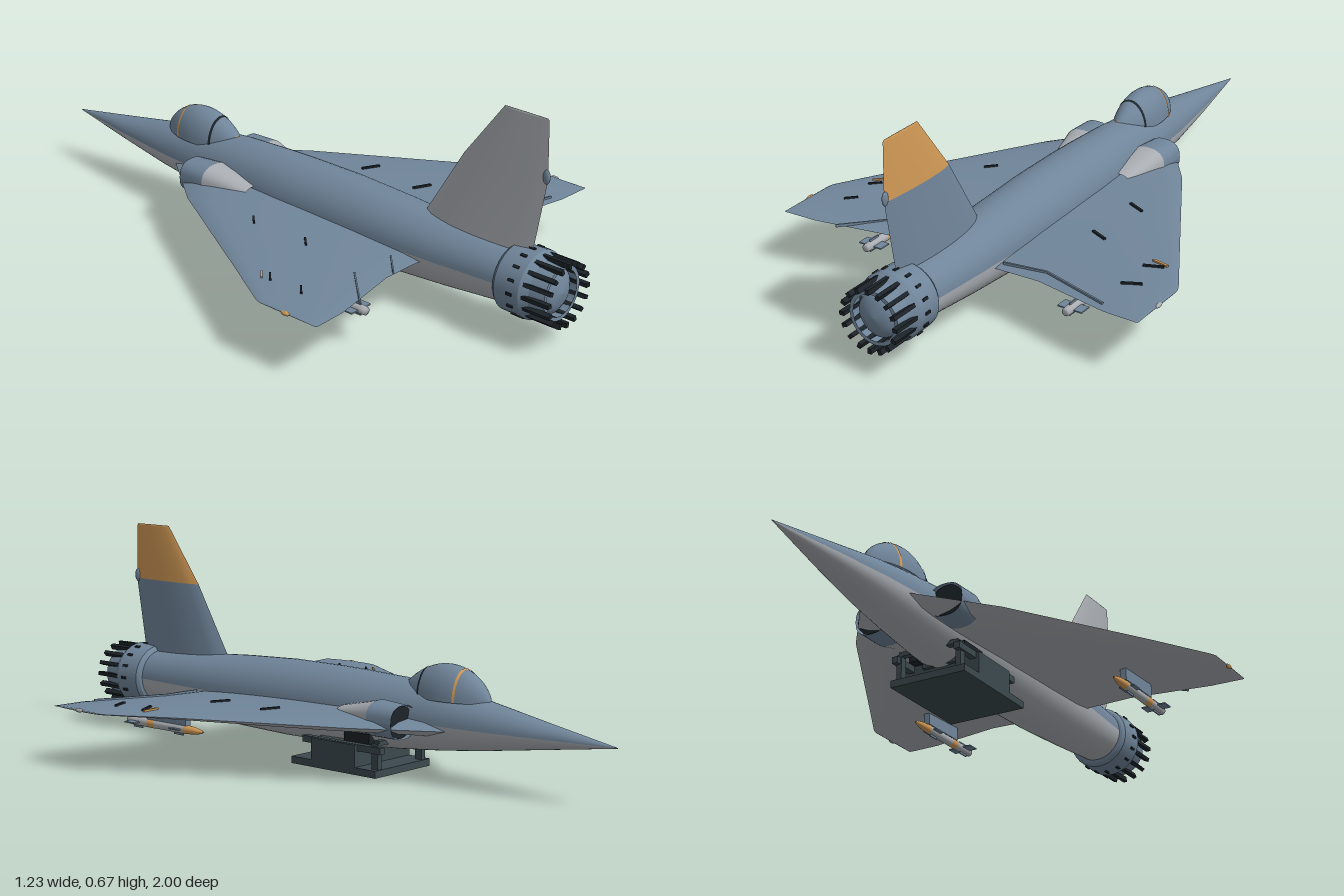
import * as THREE from 'three';

const mat = (name, color, double = false) => {
  const m = new THREE.MeshStandardMaterial({ color });
  m.name = name;
  if (double) m.side = THREE.DoubleSide;
  return m;
};

export function createModel() {
  const slate = mat('slate blue', 0x70859a, true);
  const pale = mat('pale grey', 0xa9adb2, true);
  const orange = mat('ochre', 0xd29a56, true);
  const dark = mat('dark green grey', 0x3c494f);
  const black = mat('near black', 0x1c2328);
  const root = new THREE.Group();

  const add = (parent, name, geo, material, x = 0, y = 0, z = 0) => {
    const m = new THREE.Mesh(geo, material);
    m.name = name;
    m.position.set(x, y, z);
    parent.add(m);
    return m;
  };
  const box = (parent, name, material, w, h, d, x, y, z) =>
    add(parent, name, new THREE.BoxGeometry(w, h, d), material, x, y, z);

  // Surface through rows of points, every row the same length
  const skin = (rows) => {
    const n = rows[0].length, idx = [];
    for (let i = 0; i < rows.length - 1; i++)
      for (let j = 0; j < n - 1; j++) {
        const a = i * n + j, b = a + n;
        idx.push(a, a + 1, b, a + 1, b + 1, b);
      }
    const g = new THREE.BufferGeometry();
    g.setAttribute('position', new THREE.Float32BufferAttribute(rows.flat(2), 3));
    g.setIndex(idx);
    g.computeVertexNormals();
    return g;
  };
  // Surface of revolution along z, profile points are [radius, z]
  const turned = (profile, seg = 32) =>
    new THREE.LatheGeometry(profile.map(([r, z]) => new THREE.Vector2(r, z)), seg).rotateX(Math.PI / 2);

  // Fuselage: z, half width, top, bottom
  const hull = [
    [-1, 0.001, 0.176, 0.174], [-0.75, 0.045, 0.217, 0.137], [-0.55, 0.074, 0.252, 0.107],
    [-0.4, 0.088, 0.272, 0.088], [-0.25, 0.098, 0.286, 0.073], [-0.1, 0.107, 0.291, 0.063],
    [0, 0.112, 0.293, 0.058], [0.2, 0.112, 0.293, 0.055], [0.4, 0.108, 0.284, 0.06],
    [0.6, 0.098, 0.27, 0.073], [0.82, 0.083, 0.257, 0.092],
  ];
  const arc = (sign) => hull.map(([z, w, top, bot]) =>
    Array.from({ length: 21 }, (_, j) => {
      const a = (sign * j * Math.PI) / 20;
      const h = sign > 0 ? top - 0.175 : 0.175 - bot;
      return [sign * Math.cos(a) * w, 0.175 + Math.sin(a) * h, z];
    }));
  add(root, 'fuselageUpper', skin(arc(1)), slate);
  add(root, 'fuselageBelly', skin(arc(-1)), pale);

  // Engine nozzle with a ring of petals
  const nozzle = new THREE.Group();
  nozzle.name = 'nozzle';
  nozzle.position.y = 0.172;
  root.add(nozzle);
  add(nozzle, 'nozzleCollar', turned([[0.08, 0.8], [0.092, 0.805], [0.092, 0.805], [0.1, 0.815], [0.1, 0.815],
    [0.103, 0.9], [0.103, 0.9], [0.088, 0.925], [0.088, 0.925], [0.082, 0.975], [0.082, 0.975], [0.07, 0.975]]), slate);
  add(nozzle, 'nozzleCore', turned([[0.072, 0.93], [0.066, 0.955], [0.04, 0.972], [0, 0.978]]), slate);
  for (let i = 0; i < 16; i++) {
    const a = (i / 16) * Math.PI * 2;
    const p = box(nozzle, 'nozzlePetal', black, 0.016, 0.012, 0.095, Math.cos(a) * 0.09, Math.sin(a) * 0.09, 0.9525);
    p.rotation.z = a;
    box(nozzle, 'nozzleRivet', black, 0.008, 0.008, 0.02, Math.cos(a) * 0.102, Math.sin(a) * 0.102, 0.87).rotation.z = a;
  }

  // Canopy glass and frames
  const canopyAt = (z) => {
    const t = (z + 0.565) / 0.325;
    return Math.pow(Math.sin(Math.PI * Math.pow(t, 0.9)), 0.65);
  };
  const canopyRow = (z, grow) => Array.from({ length: 17 }, (_, j) => {
    const a = (j / 16) * Math.PI, s = canopyAt(z);
    return [Math.cos(a) * (0.066 * s + grow), 0.243 + Math.sin(a) * (0.102 * s + grow), z];
  });
  add(root, 'canopy', skin(Array.from({ length: 25 }, (_, i) => canopyRow(-0.565 + (0.325 * (i + 0.02)) / 24.04, 0))), slate);
  for (const [z, m] of [[-0.475, orange], [-0.34, black], [-0.265, orange]])
    add(root, 'canopyFrame', skin([canopyRow(z - 0.004, 0.002), canopyRow(z + 0.004, 0.002)]), m);

  // Tail fin: y, leading z, trailing z, half thickness
  const fin = [[0.24, 0.47, 0.865, 0.027], [0.27, 0.488, 0.872, 0.025], [0.49, 0.62, 0.91, 0.012],
    [0.665, 0.752, 0.905, 0.005], [0.67, 0.756, 0.9, 0.0005]];
  const finSide = (list, sign) => skin(list.map(([y, a, b, t]) =>
    Array.from({ length: 13 }, (_, j) => {
      const u = j / 12;
      return [sign * t * Math.pow(Math.sin(Math.PI * Math.pow(u, 0.75)), 0.7) || 0, y, sign > 0 ? b + (a - b) * (1 - u) : a + (b - a) * u];
    })));
  const faceOut = (g, sign) => { if (sign > 0) g.setIndex([...g.index.array].reverse()), g.computeVertexNormals(); return g; };
  add(root, 'finRightSide', faceOut(finSide(fin.slice(0, 3), 1), 1), slate);
  add(root, 'finTipPaint', faceOut(finSide(fin.slice(2), 1), 1), orange);
  add(root, 'finLeftSide', finSide(fin, -1), pale);
  add(root, 'finRearLamp', new THREE.SphereGeometry(0.012, 12, 8).scale(0.6, 1.8, 1), slate, 0, 0.5, 0.905);

  // Wing stations: x, leading z, trailing z, middle y, half thickness
  const wing = [[0.05, -0.5, 0.55, 0.162, 0.033], [0.085, -0.46, 0.55, 0.162, 0.032], [0.25, -0.24, 0.555, 0.168, 0.022],
    [0.5, 0.204, 0.615, 0.177, 0.01], [0.605, 0.39, 0.62, 0.178, 0.005], [0.612, 0.41, 0.618, 0.178, 0.0005]];
  const wingSide = (sign) => skin(wing.map(([x, a, b, y, t]) =>
    Array.from({ length: 17 }, (_, j) => {
      const u = j / 16;
      return [x, y + sign * t * Math.pow(Math.sin(Math.PI * Math.pow(u, 0.7)), 0.6) || y, sign > 0 ? a + (b - a) * u : b + (a - b) * (1 - u)];
    })));
  const topY = (x, z) => {
    let i = 0;
    while (i < wing.length - 2 && x > wing[i + 1][0]) i++;
    const k = (x - wing[i][0]) / (wing[i + 1][0] - wing[i][0]);
    const [, a, b, y, t] = wing[i].map((v, n) => v + (wing[i + 1][n] - v) * k);
    return y + t * Math.pow(Math.sin(Math.PI * Math.pow((z - a) / (b - a), 0.7)), 0.6);
  };
  // Thin strip lying on the wing
  const strip = (parent, name, m, x1, z1, x2, z2, w = 0.008) => {
    const A = new THREE.Vector3(x1, topY(x1, z1) + 0.001, z1), B = new THREE.Vector3(x2, topY(x2, z2) + 0.001, z2);
    const s = add(parent, name, new THREE.BoxGeometry(w, 0.009, A.distanceTo(B)), m);
    s.position.copy(A).lerp(B, 0.5);
    s.lookAt(B);
  };

  for (const side of [1, -1]) {
    const half = new THREE.Group();
    half.name = side > 0 ? 'leftHalf' : 'rightHalf';
    half.scale.x = side;
    root.add(half);
    add(half, 'wingUpper', faceOut(wingSide(1), 1), slate);
    add(half, 'wingLower', wingSide(-1), pale);

    // Wing markings and elevon hinge
    for (const [x, z] of [[0.235, 0.04], [0.235, 0.247]]) strip(half, 'wingSlot', black, x, z, x + 0.055, z + 0.025);
    for (const z of [0.35, 0.467]) strip(half, 'wingSlot', black, 0.465, z, 0.52, z - 0.025);
    strip(half, 'wingStripe', orange, 0.475, 0.308, 0.525, 0.315);
    strip(half, 'elevonHinge', slate, 0.11, 0.522, 0.25, 0.51, 0.006);
    strip(half, 'elevonHinge', slate, 0.25, 0.51, 0.48, 0.585, 0.006);
    add(half, 'wingtipLamp', new THREE.SphereGeometry(0.008, 12, 8).scale(0.8, 0.8, 2), side > 0 ? pale : orange, 0.61, 0.178, 0.505);

    // Engine intake: z, centre x, half width, centre y, half height
    const duct = [[-0.345, 0.125, 0.055, 0.18, 0.05], [-0.25, 0.12, 0.06, 0.182, 0.053], [-0.1, 0.1, 0.045, 0.175, 0.026]]
      .map(([z, cx, w, cy, h]) => Array.from({ length: 25 }, (_, j) => {
        const a = (j / 24) * Math.PI * 2, c = Math.cos(a), s = Math.sin(a);
        return [cx + w * Math.sign(c) * Math.pow(Math.abs(c), 0.8), cy + h * Math.sign(s) * Math.pow(Math.abs(s), 0.8), z];
      }));
    add(half, 'intakeLip', skin(duct.slice(0, 2)), slate);
    add(half, 'intakeFairing', skin(duct.slice(1)), pale);
    add(half, 'intakeMouth', new THREE.CircleGeometry(1, 24).scale(0.053, 0.048, 1).rotateY(Math.PI), black, 0.125, 0.18, -0.335);

    // Missile on its pylon
    const missile = new THREE.Group();
    missile.name = 'missile';
    missile.position.set(0.35, 0.107, 0);
    half.add(missile);
    box(missile, 'pylon', slate, 0.02, 0.055, 0.17, 0, 0.04, 0.395);
    add(missile, 'missileBody', turned([[0, 0.57], [0.012, 0.57], [0.014, 0.55], [0.014, 0.32]].reverse(), 16), pale);
    add(missile, 'missileNose', turned([[0, 0.24], [0.006, 0.255], [0.011, 0.28], [0.014, 0.32]], 16), orange);
    add(missile, 'missileBand', turned([[0.0146, 0.45], [0.0146, 0.48]], 16), orange);
    for (const z of [0.53, 0.35]) {
      box(missile, 'missileFin', slate, z > 0.5 ? 0.08 : 0.05, 0.004, 0.04, 0, 0, z);
      box(missile, 'missileFin', slate, 0.004, 0.04, 0.04, 0, 0, z);
    }

    // Belly pack struts
    box(half, 'packStrut', dark, 0.016, 0.08, 0.025, 0.1, 0.06, -0.222);
    box(half, 'packClamp', black, 0.03, 0.03, 0.1, 0.08, 0.105, -0.14);
    box(half, 'packRail', dark, 0.02, 0.02, 0.31, 0.105, 0.08, -0.095);
  }

  // Belly pack
  box(root, 'packTray', dark, 0.25, 0.022, 0.335, 0, 0.011, -0.072);
  box(root, 'packBody', dark, 0.25, 0.068, 0.175, 0, 0.055, -0.072);
  box(root, 'packMount', dark, 0.12, 0.03, 0.2, 0, 0.085, -0.072);
  box(root, 'packFrontBar', dark, 0.2, 0.014, 0.02, 0, 0.1, -0.225);
  return root;
}
